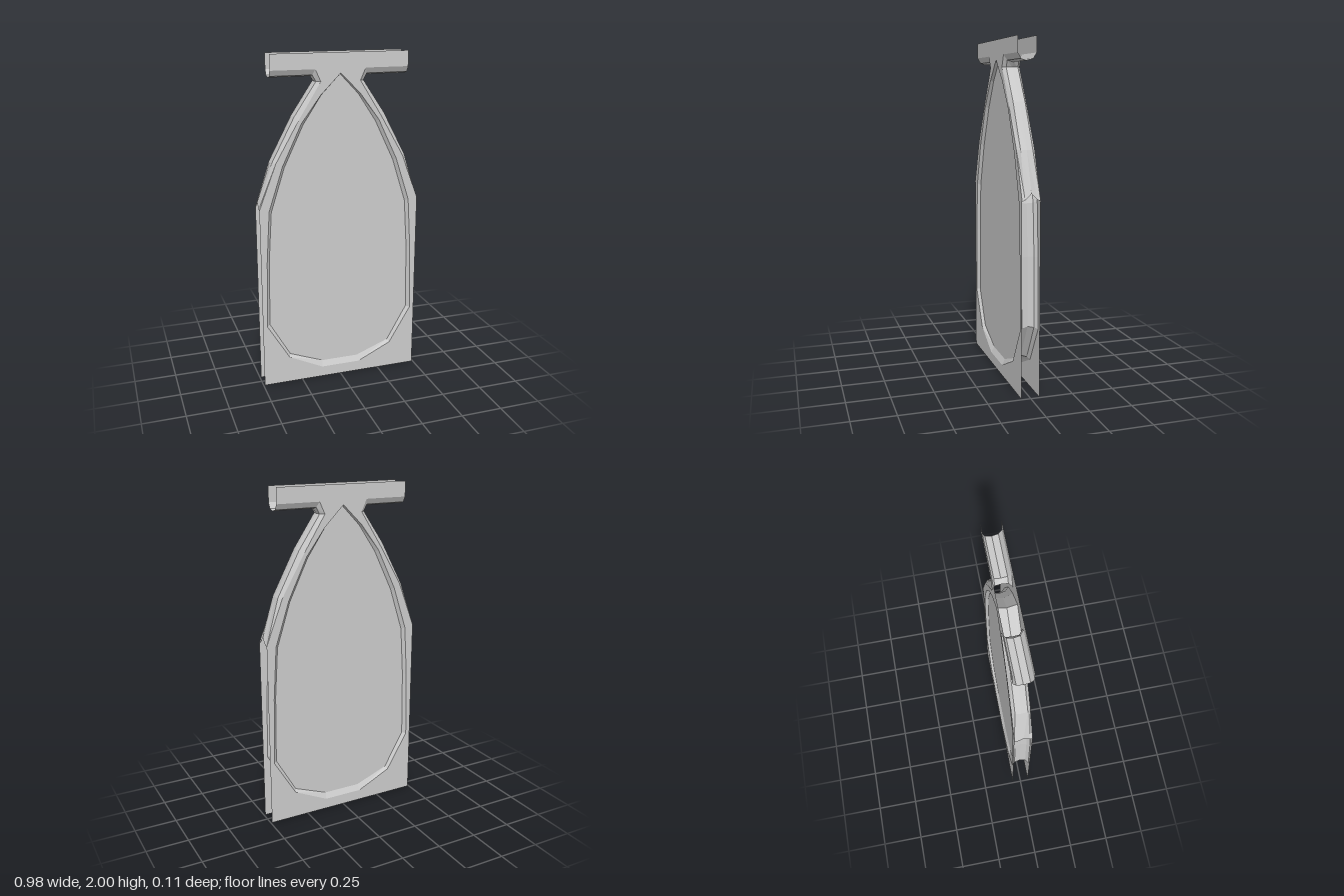
import * as THREE from 'three';

const material = new THREE.MeshStandardMaterial({ color: 0xcccccc, flatShading: true, side: THREE.DoubleSide });
const DEPTH = 0.053;
const PANE_DEPTH = 0.035;

// Right half outlines; the left half is mirrored
const plateEdge = [[0.492, 1.12], [0.388, 1.39], [0.25, 1.63], [0.118, 1.84], [0.15, 1.91], [0.411, 1.91]];
const wallChamfer = [[0.492, 1.125], [0.408, 1.39], [0.272, 1.647], [0.142, 1.84], [0.163, 1.878], [0.411, 1.878]];
const wallCrest = [[0.492, 1.16], [0.412, 1.39], [0.275, 1.65], [0.145, 1.84], [0.165, 1.868], [0.411, 1.868]];
const archEdge = [[0, 1.885], [0.12, 1.765], [0.235, 1.61], [0.35, 1.37], [0.435, 1.11], [0.455, 0.8], [0.465, 0.39], [0.33, 0.165], [0.12, 0.065]];
const archInner = [[0, 1.88], [0.112, 1.763], [0.22, 1.6], [0.335, 1.36], [0.418, 1.1], [0.438, 0.8], [0.445, 0.395], [0.322, 0.18], [0.115, 0.1]];
// Slightly tighter ring halfway between the panes
const archWaist = archInner.map(([x, y]) => [x * 0.985, 0.9 + (y - 0.9) * 0.985]);

const mirror = (points) => points.map(([x, y]) => [-x, y]);
// Closed arch loop, with the apex used once
const closeLoop = (half) => [...half, ...mirror(half.slice(1)).reverse()];
const toVectors = (points) => points.map(([x, y]) => new THREE.Vector2(x, y));

function addMesh(group, name, geometry, z = 0) {
  const mesh = new THREE.Mesh(geometry, material);
  mesh.name = name;
  mesh.position.z = z;
  group.add(mesh);
  return mesh;
}

// Wall from front to back plate through edge, chamfer and middle paths
function wallBetween(edge, chamfer, middle, closed) {
  const rings = [[edge, DEPTH], [chamfer, PANE_DEPTH], [middle, 0], [chamfer, -PANE_DEPTH], [edge, -DEPTH]];
  const n = edge.length;
  const positions = rings.flatMap(([path, z]) => path.flatMap(([x, y]) => [x, y, z]));
  const indices = [];
  for (let r = 0; r < rings.length - 1; r++) {
    for (let i = 0; i < (closed ? n : n - 1); i++) {
      const j = (i + 1) % n;
      const a = r * n + i, b = r * n + j, c = a + n, d = b + n;
      indices.push(a, c, b, b, c, d);
    }
  }
  const geometry = new THREE.BufferGeometry();
  geometry.setAttribute('position', new THREE.Float32BufferAttribute(positions, 3));
  geometry.setIndex(indices);
  const flat = geometry.toNonIndexed();
  flat.computeVertexNormals();
  return flat;
}

export function createModel() {
  const group = new THREE.Group();
  group.name = 'archedPanel';

  // Thin front and back plates with the pointed opening
  const half = [[0.492, 0], ...plateEdge, [0.411, 2]];
  const plate = new THREE.Shape(toVectors([...half, ...mirror(half).reverse()]));
  plate.holes.push(new THREE.Path(toVectors(closeLoop(archEdge))));
  const plateGeometry = new THREE.ShapeGeometry(plate);
  addMesh(group, 'frontPlate', plateGeometry, DEPTH);
  addMesh(group, 'backPlate', plateGeometry, -DEPTH).rotation.y = Math.PI;

  // Bevelled rim around the opening, with a shallow recessed pane on each face
  const [edge, inner, waist] = [archEdge, archInner, archWaist].map(closeLoop);
  addMesh(group, 'archRim', wallBetween(edge, inner, waist, true));
  const paneGeometry = new THREE.ShapeGeometry(new THREE.Shape(toVectors(inner)));
  addMesh(group, 'frontPane', paneGeometry, PANE_DEPTH);
  addMesh(group, 'backPane', paneGeometry, -PANE_DEPTH).rotation.y = Math.PI;

  // Shoulder, neck and crossbar floor on both sides; top, bottom and lower sides stay open
  const shoulder = [plateEdge, wallChamfer, wallCrest];
  addMesh(group, 'leftShoulderWall', wallBetween(...shoulder, false));
  addMesh(group, 'rightShoulderWall', wallBetween(...shoulder.map(mirror), false));

  return group;
}
